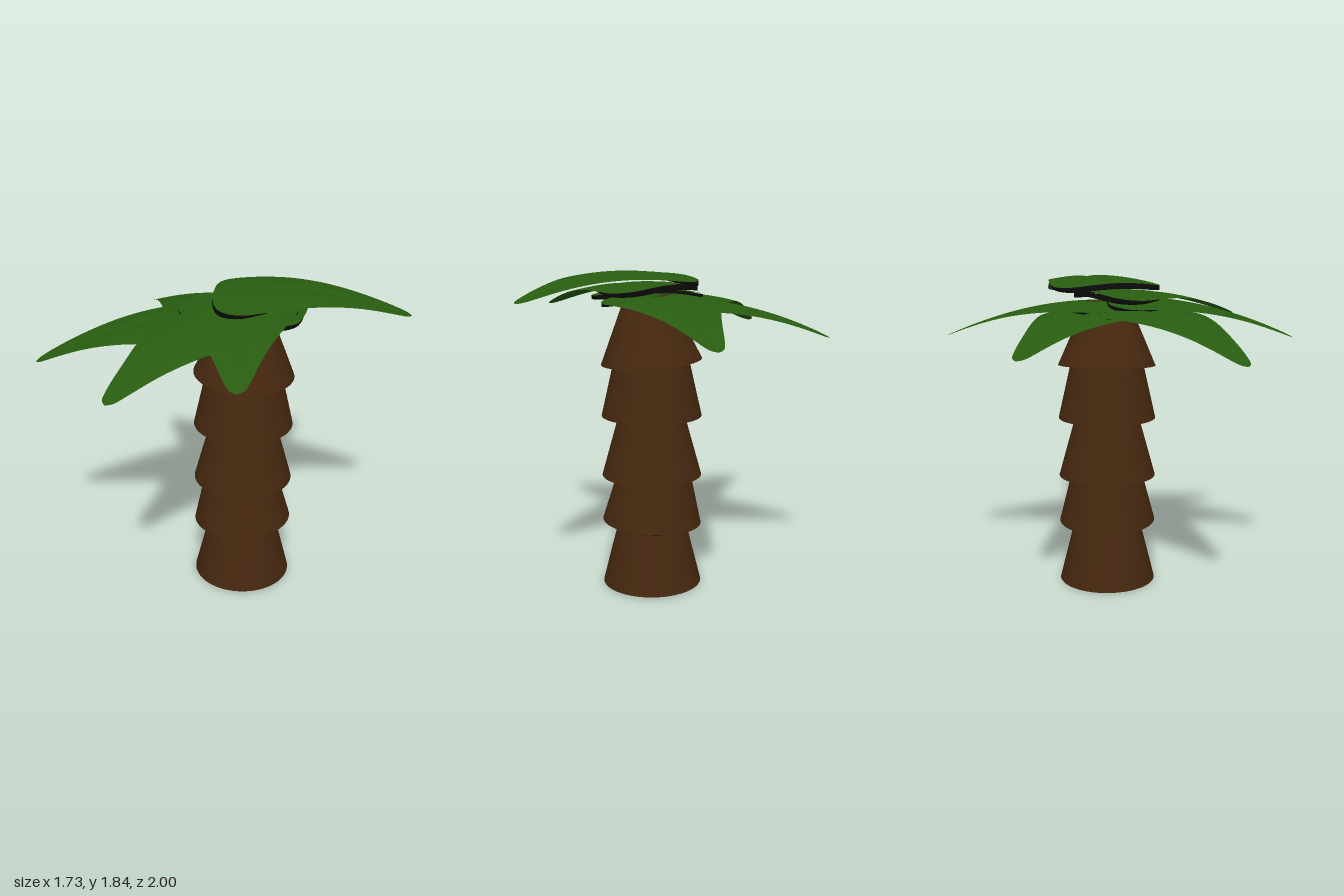
import * as THREE from 'three';

const bark = new THREE.MeshStandardMaterial({ color: 0x45270f, side: THREE.DoubleSide });
bark.name = 'bark brown';
const leafGreen = new THREE.MeshStandardMaterial({ color: 0x285c10, side: THREE.DoubleSide });
leafGreen.name = 'leaf green';
const dark = new THREE.MeshStandardMaterial({ color: 0x0c0c0c, side: THREE.DoubleSide });
dark.name = 'dark underside';

// Trunk axis
const TX = 0.095, TZ = -0.08;

// Smooth surface from a rule f(i, j) giving [x, y, z]
function sheet(rows, cols, f) {
  const pos = [], idx = [];
  for (let i = 0; i <= rows; i++) for (let j = 0; j <= cols; j++) pos.push(...f(i, j));
  for (let i = 0; i < rows; i++) for (let j = 0; j < cols; j++) {
    const a = i * (cols + 1) + j, b = a + cols + 1;
    idx.push(a, b, a + 1, b, b + 1, a + 1);
  }
  const g = new THREE.BufferGeometry();
  g.setAttribute('position', new THREE.Float32BufferAttribute(pos, 3));
  g.setIndex(idx);
  g.computeVertexNormals();
  return g;
}

// Half outline of a leaf: x = position from base to tip, y = half width
const outline = new THREE.SplineCurve([
  [0, 0], [0.006, 0.14], [0.05, 0.27], [0.16, 0.33], [0.3, 0.305], [0.45, 0.25],
  [0.72, 0.14], [0.9, 0.075], [0.975, 0.04], [1, 0],
].map(p => new THREE.Vector2(...p)));

// One leaf from its base point to its tip, both [x, y, z]
function makeLeaf(base, tip, bump) {
  const g = new THREE.Group();
  g.name = 'leaf';
  const dx = tip[0] - base[0], dz = tip[2] - base[2], len = Math.hypot(dx, dz);
  const px = dz / len, pz = -dx / len;
  const ROWS = 54, COLS = 16;
  const point = (s, w, u, lower) => {
    const rib = 0.012 * Math.exp(-((u / 0.14) ** 2)) * Math.sin(Math.PI * s);
    const arch = 0.4 * (w * u) ** 2;
    const y = base[1] + (tip[1] - base[1]) * s * s + bump * Math.sin(Math.PI * s) - arch - rib - lower;
    return [base[0] + dx * s + px * w * u, y, base[2] + dz * s + pz * w * u];
  };
  const blade = new THREE.Mesh(sheet(ROWS, COLS, (i, j) => {
    const p = outline.getPoint(i / ROWS);
    return point(p.x, Math.max(p.y, 0), j / COLS * 2 - 1, 0);
  }), leafGreen);
  blade.name = 'leafBlade';

  // Dark pad under the base, thinning out along the leaf
  const END = 0.44;
  const pad = new THREE.Mesh(sheet(24, COLS + 2, (i, j) => {
    const p = outline.getPoint(i / 24 * END);
    const k = Math.min(Math.max(j - 1, 0), COLS);
    const edge = j === 0 || j === COLS + 2;
    const lower = edge ? 0.003 : 0.003 + 0.03 * (1 - (i / 24) ** 3);
    return point(p.x, Math.max(p.y, 0) * 0.995, k / COLS * 2 - 1, lower);
  }), dark);
  pad.name = 'leafPad';
  g.add(blade, pad);
  return g;
}

// One flared trunk section with its dark underside and neck
function makeSection([y, height, topRadius, tilt, neck]) {
  const g = new THREE.Group();
  g.name = 'trunkSection';
  const cone = new THREE.Mesh(new THREE.CylinderGeometry(topRadius, 0.29, height, 64, 1, true), bark);
  cone.name = 'trunkCone';
  cone.position.y = height / 2;
  g.add(cone);
  if (y > 0) {
    const under = new THREE.Mesh(new THREE.CircleGeometry(0.287, 64), dark);
    under.name = 'trunkUnderside';
    under.rotation.x = Math.PI / 2;
    under.position.y = 0.004;
    g.add(under);
  }
  if (neck) {
    const ring = new THREE.Mesh(new THREE.CylinderGeometry(0.205, 0.205, neck, 64, 1, true), dark);
    ring.name = 'trunkNeck';
    ring.position.y = -neck / 2;
    g.add(ring);
  }
  g.position.set(TX, y, TZ);
  g.rotation.z = tilt;
  return g;
}

export function createModel() {
  const model = new THREE.Group();
  model.name = 'palmTree';

  // Trunk: base height, section height, top radius, tilt, neck height
  const trunk = new THREE.Group();
  trunk.name = 'trunk';
  [
    [0, 0.36, 0.2, 0, 0],
    [0.375, 0.29, 0.215, 0.05, 0.032],
    [0.66, 0.36, 0.19, 0, 0.014],
    [1.015, 0.33, 0.215, 0, 0],
    [1.33, 0.38, 0.125, -0.065, 0],
  ].forEach(s => trunk.add(makeSection(s)));
  model.add(trunk);

  // Crown: base point, tip point, lift along the middle
  const crown = new THREE.Group();
  crown.name = 'crown';
  [
    [[0.13, 1.68, -0.03], [-0.865, 1.48, -0.37], 0.02],
    [[0.05, 1.69, 0.02], [-0.7, 1.455, 0.77], 0.02],
    [[0.09, 1.71, 0.05], [-0.085, 1.51, -1.0], 0.02],
    [[0.08, 1.735, -0.06], [0.1, 1.515, 1.0], 0.01],
    [[-0.02, 1.77, -0.17], [0.625, 1.6, 0.63], 0.02],
    [[-0.04, 1.82, 0.02], [0.86, 1.715, -0.58], 0.045],
  ].forEach(l => crown.add(makeLeaf(...l)));
  model.add(crown);

  return model;
}
